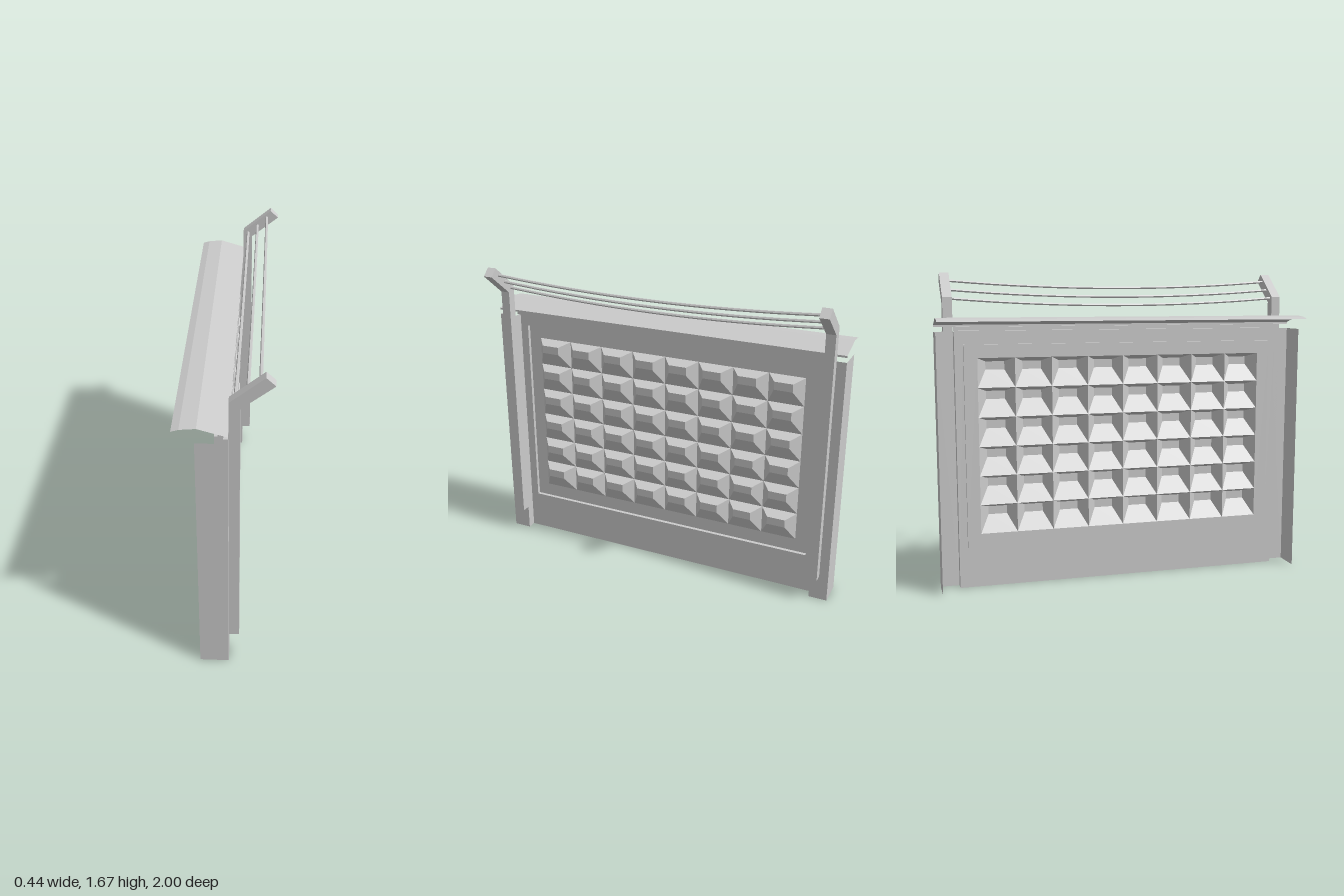
import * as THREE from 'three';

const material = new THREE.MeshStandardMaterial({ color: 0xcccccc, flatShading: true, side: THREE.DoubleSide });

// Mesh from a list of four-cornered faces
function quadMesh(name, quads) {
  const pos = [];
  for (const [a, b, c, d] of quads) for (const p of [a, b, c, a, c, d]) pos.push(...p);
  const geo = new THREE.BufferGeometry();
  geo.setAttribute('position', new THREE.Float32BufferAttribute(pos, 3));
  geo.computeVertexNormals();
  const mesh = new THREE.Mesh(geo, material);
  mesh.name = name;
  return mesh;
}

// Upright rectangle at depth x, corners counter-clockwise seen from +x
const rect = (x, z0, z1, y0, y1) => [[x, y0, z1], [x, y0, z0], [x, y1, z0], [x, y1, z1]];

// Band of four faces joining two rectangles
const ring = (a, b) => a.map((p, i) => {
  const j = (i + 1) % 4;
  return [p, a[j], b[j], b[i]];
});

export function createModel() {
  const group = new THREE.Group();
  const WALL = -0.03, PANEL = -0.05, STUD = 0.01, FACE = 0.02;

  // Thin wall sheet with a stepped recess
  const outer = rect(WALL, -0.9, 0.9, 0, 1.37);
  const edge = rect(WALL, -0.855, 0.855, 0.22, 1.3);
  const floor = rect(PANEL, -0.855, 0.855, 0.22, 1.3);
  const field = rect(PANEL, -0.785, 0.785, 0.295, 1.23);
  group.add(quadMesh('wallPanel', [...ring(outer, edge), ...ring(edge, floor), ...ring(floor, field)]));

  // Grid of hollow studs, with the flat front set towards the top
  const cols = 8, rows = 6;
  const w = 1.57 / cols, h = 0.935 / rows;
  const studs = [];
  for (let c = 0; c < cols; c++) {
    for (let r = 0; r < rows; r++) {
      const z = -0.785 + c * w, y = 0.295 + r * h;
      const base = rect(PANEL, z, z + w, y, y + h);
      const front = rect(STUD, z + 0.048, z + w - 0.048, y + 0.09, y + h - 0.022);
      studs.push(...ring(base, front), front);
    }
  }
  group.add(quadMesh('studs', studs));

  // Folded end pilasters with a deep outer flange
  for (const s of [1, -1]) {
    const profile = [[-0.125, 1], [FACE, 1], [FACE, 0.9], [WALL, 0.9]];
    const quads = [];
    for (let i = 0; i < 3; i++) {
      const [xa, za] = profile[i], [xb, zb] = profile[i + 1];
      const q = [[xa, 0, za * s], [xb, 0, zb * s], [xb, 1.365, zb * s], [xa, 1.365, za * s]];
      quads.push(s > 0 ? q : q.reverse());
    }
    group.add(quadMesh(s > 0 ? 'leftPilaster' : 'rightPilaster', quads));
  }

  // Coping: open folded sheet running the full length
  const coping = [[WALL, 1.37], [0, 1.37], [0, 1.39], [FACE, 1.39], [FACE, 1.4],
    [-0.115, 1.44], [-0.19, 1.433], [-0.225, 1.422]];
  const copingQuads = [];
  for (let i = 0; i < coping.length - 1; i++) {
    const [xa, ya] = coping[i], [xb, yb] = coping[i + 1];
    const e = i < 2 ? 0.9 : 1;
    copingQuads.push([[xa, ya, e], [xa, ya, -e], [xb, yb, -e], [xb, yb, e]]);
  }
  group.add(quadMesh('coping', copingQuads));

  // Posts with slanted arms
  const outline = [[0.02, 0.14], [0.07, 0.14], [0.07, 1.512], [0.22, 1.63], [0.177, 1.67], [0.02, 1.542]];
  const shape = new THREE.Shape(outline.map(([x, y]) => new THREE.Vector2(x, y)));
  const postGeo = new THREE.ExtrudeGeometry(shape, { depth: 0.05, bevelEnabled: false });
  for (const s of [1, -1]) {
    const post = new THREE.Mesh(postGeo, material);
    post.name = s > 0 ? 'leftPost' : 'rightPost';
    post.position.z = s > 0 ? 0.9 : -0.95;
    group.add(post);
  }

  // Three wires sagging between the arms
  for (const [x, y] of [[0.047, 1.535], [0.101, 1.58], [0.155, 1.628]]) {
    const points = [];
    for (let i = 0; i <= 8; i++) {
      const z = -0.905 + (1.81 * i) / 8;
      points.push(new THREE.Vector3(x, y - 0.036 * (1 - (z / 0.905) ** 2), z));
    }
    const wire = new THREE.Mesh(
      new THREE.TubeGeometry(new THREE.CatmullRomCurve3(points), 16, 0.008, 6), material);
    wire.name = 'wire';
    group.add(wire);
  }
  return group;
}
